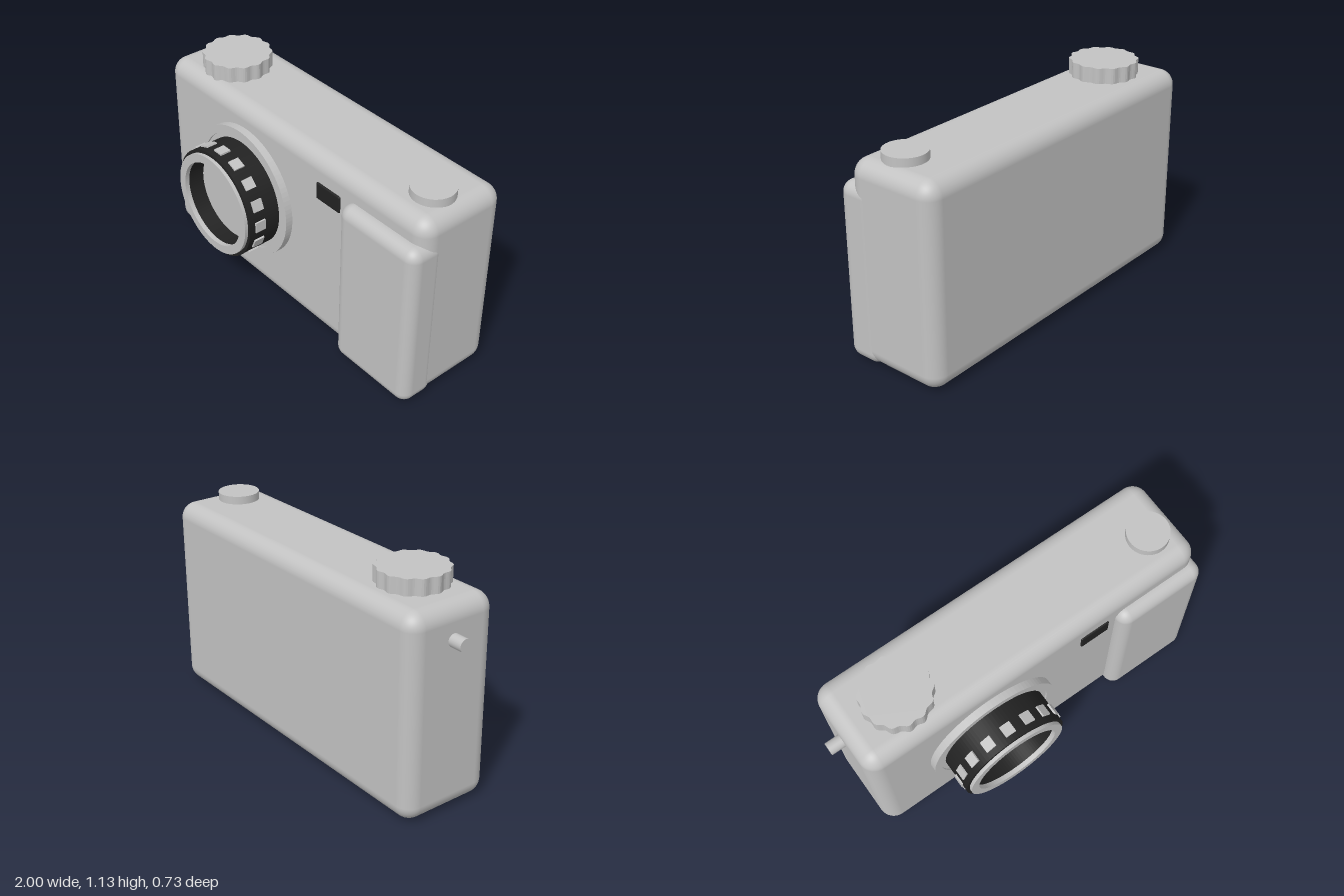
import * as THREE from 'three';
import { RoundedBoxGeometry } from 'three/addons/geometries/RoundedBoxGeometry.js';

export function createModel() {
  const model = new THREE.Group();
  model.name = 'camera';

  const silver = new THREE.MeshStandardMaterial({ color: 0xc2c2c2 });
  silver.name = 'silver';
  const black = new THREE.MeshStandardMaterial({ color: 0x222222 });
  black.name = 'black';

  function add(parent, name, geometry, material, x = 0, y = 0, z = 0) {
    const mesh = new THREE.Mesh(geometry, material);
    mesh.name = name;
    mesh.position.set(x, y, z);
    parent.add(mesh);
    return mesh;
  }

  // Box given by its minimum and maximum corners
  function roundedBox(name, min, max, radius, material) {
    const size = max.map((v, i) => v - min[i]);
    const mid = max.map((v, i) => (v + min[i]) / 2);
    return add(model, name, new RoundedBoxGeometry(...size, 6, radius), material, ...mid);
  }

  // Ring along +z with a square section and crisp edges
  function ring(inner, outer, z0, z1) {
    const shape = new THREE.Shape().absarc(0, 0, outer, 0, Math.PI * 2);
    shape.holes.push(new THREE.Path().absarc(0, 0, inner, 0, Math.PI * 2, true));
    const geometry = new THREE.ExtrudeGeometry(shape, {
      depth: z1 - z0, bevelEnabled: false, curveSegments: 48,
    });
    return geometry.translate(0, 0, z0);
  }

  // Body, hand grip, base plate and viewfinder window
  roundedBox('body', [-0.925, 0.005, -0.365], [0.995, 1.053, 0.135], 0.083, silver);
  roundedBox('grip', [0.495, 0.005, 0], [0.997, 0.927, 0.2], 0.06, silver);
  add(model, 'basePlate', new THREE.BoxGeometry(1.63, 0.02, 0.33), silver, 0.035, 0.01, -0.115);
  roundedBox('viewfinder', [0.285, 0.817, 0.12], [0.45, 0.91, 0.144], 0.008, black);

  // Scalloped dial
  const dialPoints = [];
  for (let i = 0; i < 112; i++) {
    const a = (i / 112) * Math.PI * 2;
    const r = 0.174 + 0.006 * Math.cos(14 * a);
    dialPoints.push(new THREE.Vector2(r * Math.cos(a), r * Math.sin(a)));
  }
  const dial = new THREE.ExtrudeGeometry(new THREE.Shape(dialPoints), {
    depth: 0.095, bevelEnabled: false,
  });
  dial.rotateX(-Math.PI / 2);
  add(model, 'dial', dial, silver, -0.615, 1.04, -0.092);

  // Shutter button and side pin
  add(model, 'shutterButton', new THREE.CylinderGeometry(0.108, 0.108, 0.055, 48), silver, 0.83, 1.0675, -0.07);
  const pin = add(model, 'sidePin', new THREE.CylinderGeometry(0.033, 0.033, 0.1, 24), silver, -0.95, 0.886, -0.12);
  pin.rotation.z = Math.PI / 2;

  // Lens assembly
  const lens = new THREE.Group();
  lens.name = 'lens';
  lens.position.set(-0.26, 0.57, 0);
  model.add(lens);
  add(lens, 'mountRing', ring(0.32, 0.36, 0.12, 0.175), silver);
  add(lens, 'mountDisc', ring(0.24, 0.325, 0.12, 0.165), silver);
  add(lens, 'barrel', ring(0.232, 0.292, 0.13, 0.347), black);
  add(lens, 'frontRing', ring(0.23, 0.275, 0.34, 0.365), silver);
  add(lens, 'lensFace', new THREE.CircleGeometry(0.24, 48), silver, 0, 0, 0.25);

  // Focus grip studs around the barrel
  for (let i = 0; i < 16; i++) {
    const a = (i / 16) * Math.PI * 2;
    const stud = add(lens, 'focusStud', new THREE.BoxGeometry(0.04, 0.057, 0.06), silver,
      0.28 * Math.cos(a), 0.28 * Math.sin(a), 0.285);
    stud.rotation.z = a;
  }
  return model;
}
